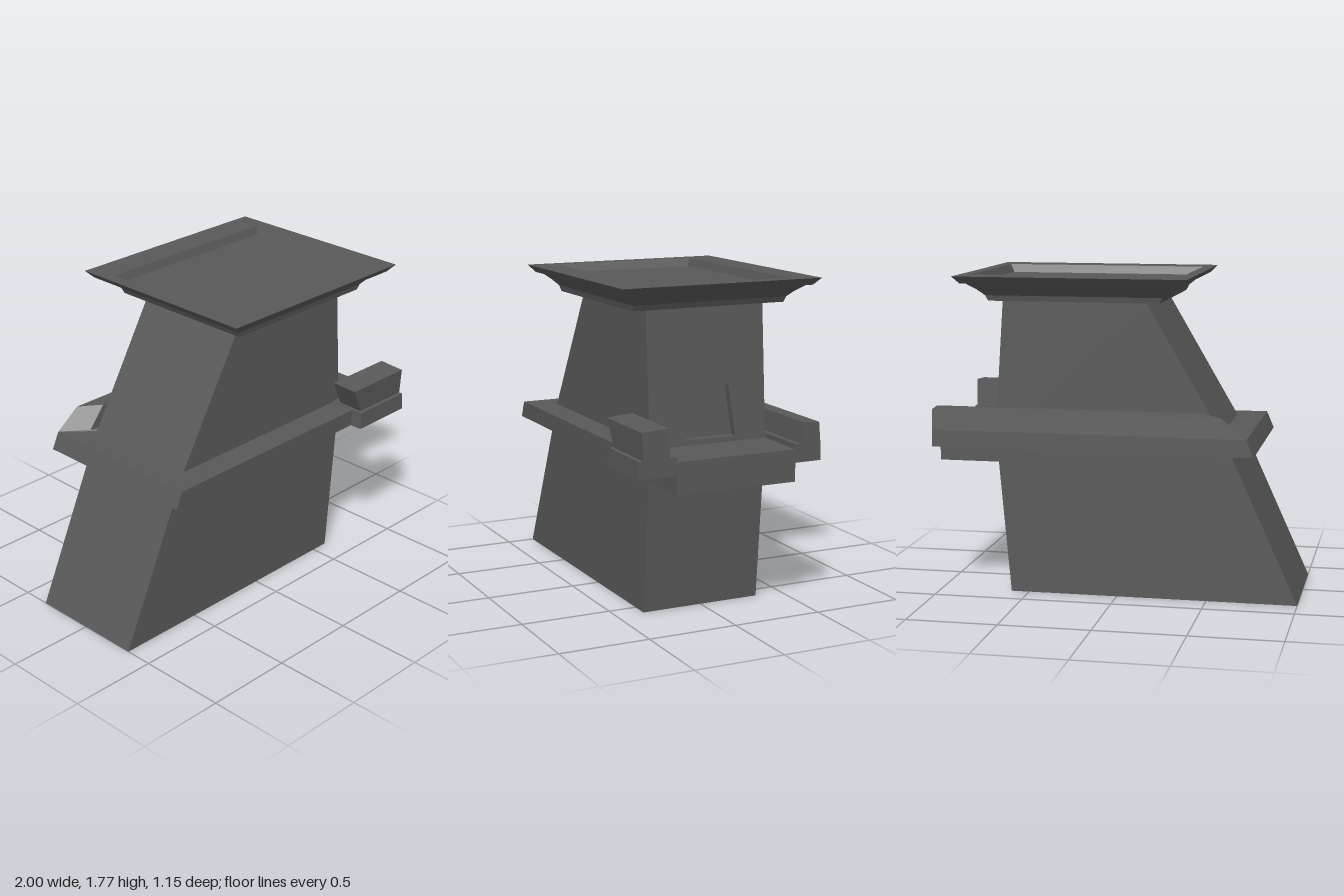
import * as THREE from 'three';

const material = new THREE.MeshStandardMaterial({ color: 0x595959, flatShading: true });
const toShape = (pts) => new THREE.Shape(pts.map(([x, y]) => new THREE.Vector2(x, y)));

function add(group, name, geometry) {
  const mesh = new THREE.Mesh(geometry, material);
  mesh.name = name;
  group.add(mesh);
}

// Prism of an [x, y] outline between two z values
function alongZ(pts, z0, z1) {
  return new THREE.ExtrudeGeometry(toShape(pts), { depth: z1 - z0, bevelEnabled: false }).translate(0, 0, z0);
}

// Prism of a [z, y] section; each end is given as x = f(y, z)
function alongX(section, start, end, hole) {
  const flip = (pts) => pts.map(([z, y]) => [-z, y]);
  const shape = toShape(flip(section));
  if (hole) shape.holes.push(toShape(flip(hole)));
  const geo = new THREE.ExtrudeGeometry(shape, { depth: 1, bevelEnabled: false }).rotateY(Math.PI / 2);
  const p = geo.attributes.position;
  for (let i = 0; i < p.count; i++) {
    const f = p.getX(i) < 0.5 ? start : end;
    p.setX(i, f(p.getY(i), p.getZ(i)));
  }
  geo.computeVertexNormals();
  return geo;
}

// Stack of rectangles [y, halfX, halfZ], closed at both ends
function rectLoft(levels, cx) {
  const pos = [], index = [];
  levels.forEach(([y, hx, hz]) => {
    pos.push(cx - hx, y, hz, cx + hx, y, hz, cx + hx, y, -hz, cx - hx, y, -hz);
  });
  for (let l = 0; l < levels.length - 1; l++) {
    for (let k = 0; k < 4; k++) {
      const a = l * 4 + k, b = l * 4 + (k + 1) % 4;
      index.push(a, b, b + 4, a, b + 4, a + 4);
    }
  }
  const t = (levels.length - 1) * 4;
  index.push(0, 2, 1, 0, 3, 2, t, t + 1, t + 2, t, t + 2, t + 3);
  const geo = new THREE.BufferGeometry();
  geo.setAttribute('position', new THREE.Float32BufferAttribute(pos, 3));
  geo.setIndex(index);
  geo.computeVertexNormals();
  return geo;
}

export function createModel() {
  const model = new THREE.Group();
  model.name = 'tower';
  const W = 0.343; // half width of the tower
  const base = 0.836; // underside of the ledge
  const recess = 0.04;
  const wallX = (y) => 0.68 - (y - 0.91) * 0.068;
  const endX = () => 1;

  // Tapered tower, set back behind the doorway wall
  add(model, 'towerBody', alongZ([
    [-1, 0], [0.6, 0], [0.68, 0.91], [wallX(0.91) - recess, 0.91], [wallX(1.64) - recess, 1.64],
    [-0.16, 1.64], [-0.575, 0.93], [-0.62, base],
  ], -W, W));

  // Upper wall with a recessed, slightly skewed doorway
  add(model, 'doorwayWall', alongX(
    [[-W, 0.91], [W, 0.91], [W, 1.64], [-W, 1.64]],
    (y) => wallX(y) - recess, wallX,
    [[0.13, 0.937], [-0.16, 0.937], [-0.125, 1.217], [0.135, 1.217]],
  ));

  // Ledge running round the tower
  add(model, 'ledge', alongZ([[-0.77, base], [0.62, base], [0.63, 0.93], [-0.73, 0.93]], -0.49, 0.49));

  // Balcony floor below the doorway
  add(model, 'balconyFloor', alongZ([[0.6, 0.735], [1, 0.735], [1, 0.908], [0.6, 0.908]], -W, W));

  // Back rail: follows the ledge's bevel, then a mitred, sloping end
  add(model, 'backRail', alongX(
    [[-0.495, base], [-W, base], [-W, 0.935], [-0.375, 0.935],
      [-0.388, 1.048], [-0.483, 1.042], [-0.493, 0.93]],
    (y, z) => (y < 0.9 ? -0.77 : -0.73 + 1.1 * (z + 0.495) + 1.1 * (y - 0.93)), endX));

  // Short front rail with an overhanging block
  add(model, 'frontCurb', alongX(
    [[W, base], [0.56, base], [0.555, 0.93], [0.385, 0.935], [W, 0.935]],
    (y) => 0.62 + 0.11 * (y - base), endX));
  add(model, 'frontParapet', alongX(
    [[0.385, 0.925], [0.532, 0.925], [0.543, 1.077], [0.392, 1.087]],
    (y) => 0.65 - 0.5 * (y - 0.93), endX));

  // Cornice with a cove below and a sunken top
  add(model, 'cornice', rectLoft([
    [1.637, 0.47, 0.44], [1.667, 0.485, 0.447], [1.68, 0.5, 0.458], [1.7, 0.523, 0.477],
    [1.717, 0.548, 0.497], [1.733, 0.572, 0.515], [1.736, 0.598, 0.542], [1.775, 0.635, 0.575],
    [1.775, 0.572, 0.41], [1.73, 0.548, 0.392],
  ], 0.215));

  return model;
}
